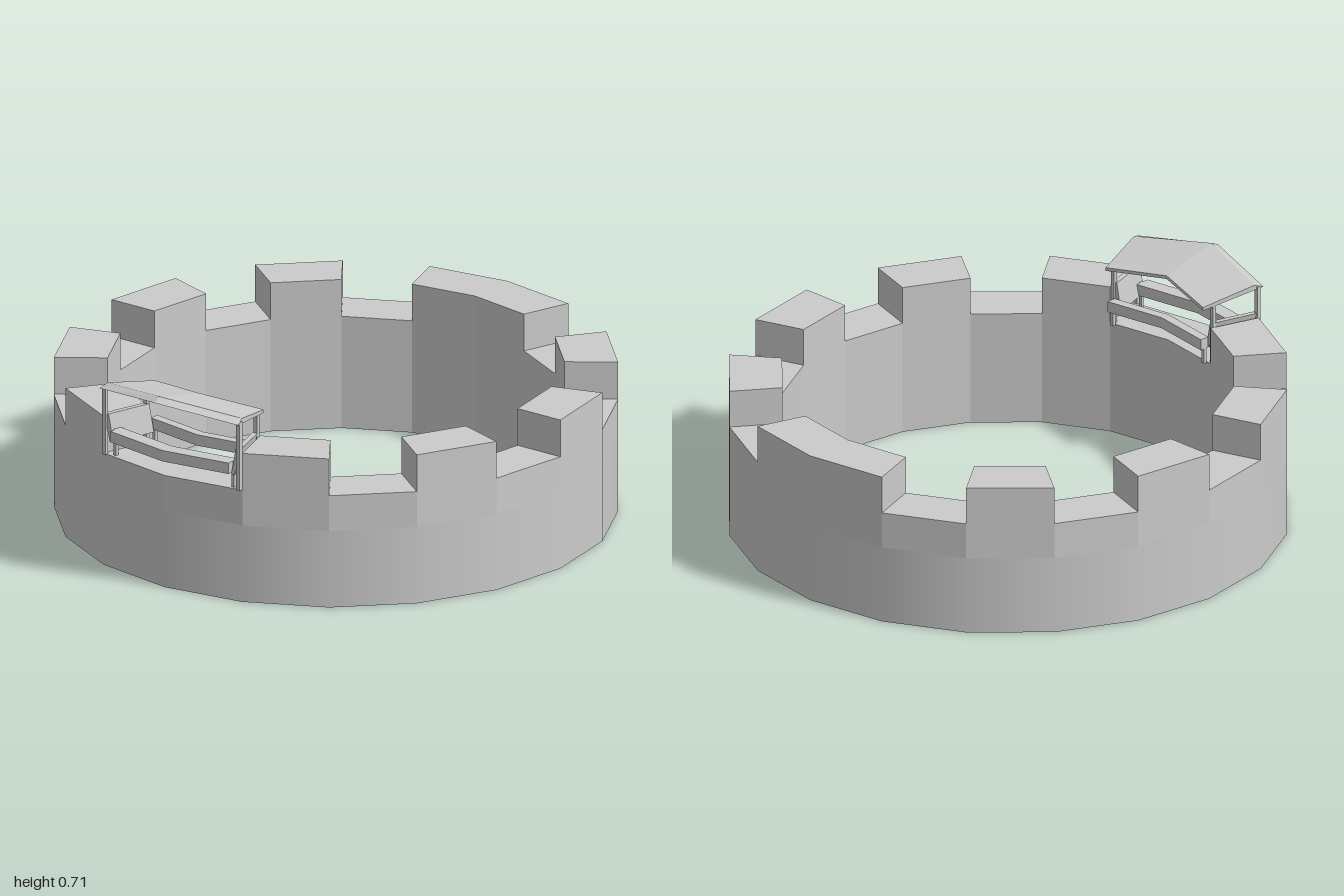
import * as THREE from 'three';

const SIDES = 20, STEP = (Math.PI * 2) / SIDES;
const R_OUT = 0.97, R_IN = 0.785, CENTER_Z = -0.027;
const BAND_Y = 0.28, WALL_Y = 0.41, MERLON_Y = 0.545;

const smooth = new THREE.MeshStandardMaterial({ color: 0xcccccc });
const flat = new THREE.MeshStandardMaterial({ color: 0xcccccc, flatShading: true });

// Solid through matching cross-sections, capped at both ends
function loft(sections) {
  const pos = [];
  const tri = (a, b, c) => pos.push(...a, ...b, ...c);
  const n = sections[0].length;
  for (let i = 0; i < sections.length - 1; i++) {
    const s = sections[i], t = sections[i + 1];
    for (let j = 0; j < n; j++) {
      const k = (j + 1) % n;
      tri(s[j], t[j], t[k]);
      tri(s[j], t[k], s[k]);
    }
  }
  const first = sections[0], last = sections[sections.length - 1];
  for (let j = 1; j < n - 1; j++) {
    tri(first[0], first[j], first[j + 1]);
    tri(last[0], last[j + 1], last[j]);
  }
  const geo = new THREE.BufferGeometry();
  geo.setAttribute('position', new THREE.Float32BufferAttribute(pos, 3));
  geo.computeVertexNormals();
  return geo;
}

// Bent bar: end section mirrored across the middle section
function bentBar(middle, end) {
  return loft([end.map(([x, y, z]) => [-x, y, z]), middle, end]);
}

// One straight piece of the ring between two neighbouring corners
function ringBlock(index, y0, y1) {
  const profile = [[R_IN, y0], [R_OUT, y0], [R_OUT, y1], [R_IN, y1]];
  return loft([index, index + 1].map((i) =>
    profile.map(([r, y]) => [Math.sin(i * STEP) * r, y, Math.cos(i * STEP) * r])));
}

export function createModel() {
  const model = new THREE.Group();
  const add = (parent, name, geo, mat = flat) => {
    const mesh = new THREE.Mesh(geo, mat);
    mesh.name = name;
    parent.add(mesh);
    return mesh;
  };

  // Round wall: smooth outer band, faceted inside and underside
  const wall = new THREE.Group();
  wall.name = 'wall';
  wall.position.z = CENTER_Z;
  model.add(wall);
  const band = add(wall, 'outerBand',
    new THREE.CylinderGeometry(R_OUT, R_OUT, BAND_Y, SIDES, 1, true), smooth);
  band.position.y = BAND_Y / 2;
  add(wall, 'innerBand', new THREE.LatheGeometry([
    new THREE.Vector2(R_IN, BAND_Y), new THREE.Vector2(R_IN, 0), new THREE.Vector2(R_OUT, 0),
  ], SIDES));

  // Battlements: alternate from the front on each half, so two merlons meet at the back
  for (let i = 0; i < SIDES; i++) {
    const fromFront = i < SIDES / 2 ? i : SIDES - 1 - i;
    const isMerlon = fromFront % 2 === 1;
    add(wall, isMerlon ? 'merlon' : 'crenel', ringBlock(i, BAND_Y, isMerlon ? MERLON_Y : WALL_Y));
  }

  // Lookout shelter over the front opening
  const shelter = new THREE.Group();
  shelter.name = 'shelter';
  model.add(shelter);

  // Roof, sloping down inward and to both sides, with a bevelled front lip
  add(shelter, 'roof', bentBar(
    [[0, 0.643, 0.75], [0, 0.69, 0.985], [0, 0.693, 1.0], [0, 0.707, 0.97], [0, 0.655, 0.75]],
    [[0.235, 0.618, 0.69], [0.295, 0.652, 0.905], [0.30, 0.655, 0.92],
      [0.29, 0.668, 0.885], [0.235, 0.63, 0.69]]));

  // Front counter and inner rail, bent along the wall
  for (const [name, zIn, zOut, halfWidth] of [
    ['frontCounter', 0.9, 0.955, 0.255], ['innerRail', 0.725, 0.76, 0.225]]) {
    const section = (x, z) => [
      [x, 0.465, zIn - z], [x, 0.465, zOut - z], [x, 0.505, zOut - z], [x, 0.505, zIn - z]];
    add(shelter, name, bentBar(section(0, 0), section(halfWidth, halfWidth * 0.157)));
  }

  for (const side of [-1, 1]) {
    // Corner posts and short legs
    for (const [name, x, y0, y1, z, w] of [
      ['frontPost', 0.29, WALL_Y, 0.66, 0.9, 0.015],
      ['backPost', 0.238, WALL_Y, 0.635, 0.735, 0.015],
      ['frontLeg', 0.255, WALL_Y, 0.505, 0.885, 0.012],
      ['backLeg', 0.22, WALL_Y, 0.505, 0.71, 0.012]]) {
      const post = add(shelter, name, new THREE.BoxGeometry(w, y1 - y0, w));
      post.position.set(side * x, (y0 + y1) / 2, z);
    }

    // Slanted side board resting against the merlon
    const board = (x, z) => {
      const ring = [[x - 0.04, 0.46, z], [x - 0.025, 0.46, z], [x, 0.56, z], [x - 0.02, 0.56, z]];
      return side > 0 ? ring : ring.map(([a, y, c]) => [-a, y, c]).reverse();
    };
    add(shelter, 'sideBoard', loft([board(0.295, 0.9), board(0.245, 0.735)]));
  }

  return model;
}
